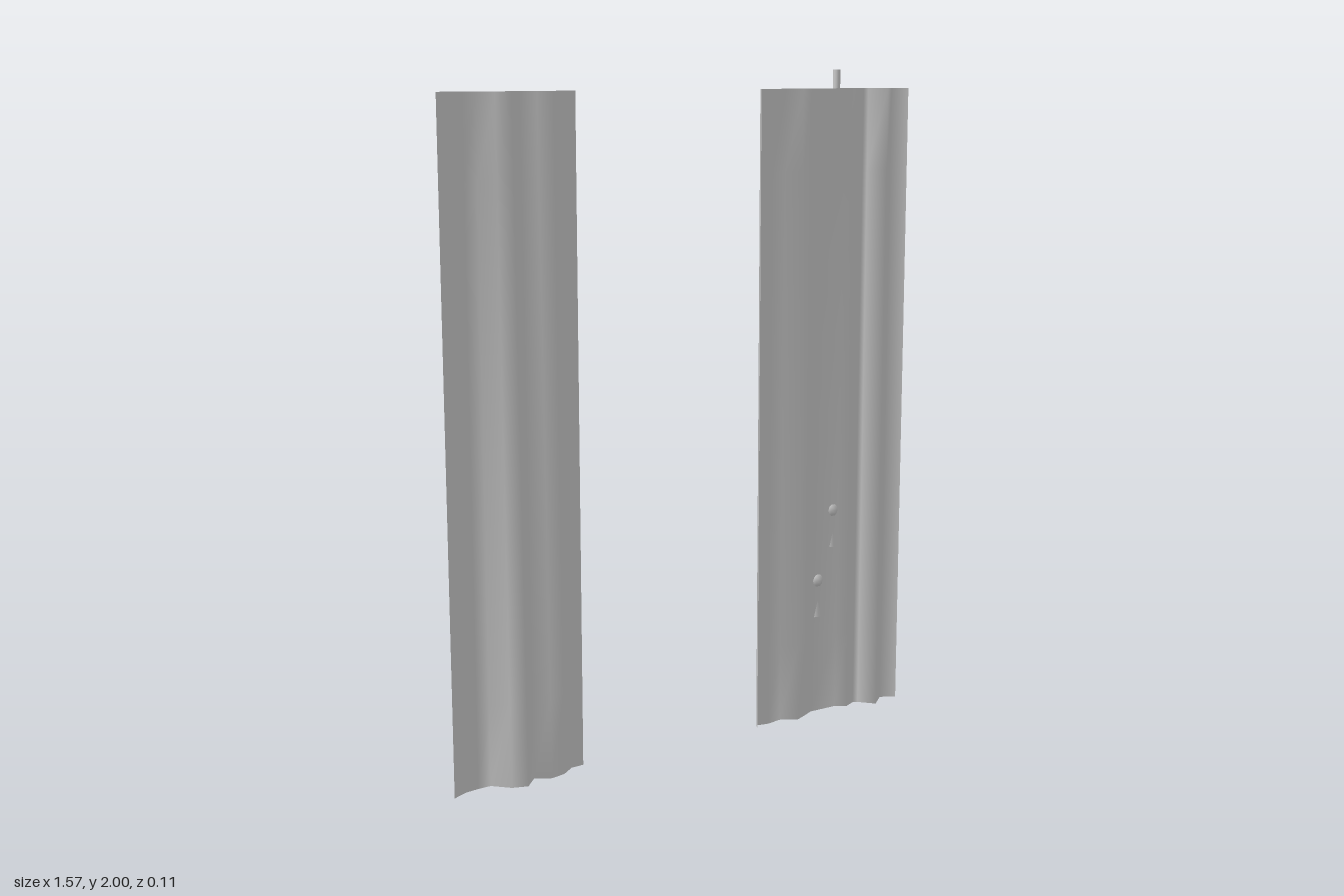
import * as THREE from 'three';

const grey = new THREE.MeshStandardMaterial({ color: 0xcccccc });
const cloth = new THREE.MeshStandardMaterial({ color: 0xcccccc, side: THREE.DoubleSide });
const HEIGHT = 1.945;
const ROWS = 8;

// Hanging sheet lofted from folds given as [x, z at hem, z at top]
function makePanel(name, folds) {
  const n = folds.length;
  const geo = new THREE.PlaneGeometry(1, 1, n - 1, ROWS);
  const pos = geo.attributes.position;
  for (let i = 0; i < pos.count; i++) {
    const [x, hem, top] = folds[i % n];
    const t = 1 - Math.floor(i / n) / ROWS;
    pos.setXYZ(i, x, t * HEIGHT, hem + (top - hem) * t);
  }
  geo.computeVertexNormals();
  const mesh = new THREE.Mesh(geo, cloth);
  mesh.name = name;
  return mesh;
}

// Pull cord with a round bead and a flared tassel
function makeCord(name, x, beadY) {
  const cord = new THREE.Group();
  cord.name = name;
  const add = (part, geo, y, z) => {
    const mesh = new THREE.Mesh(geo, grey);
    mesh.name = part;
    mesh.position.set(0, y, z);
    cord.add(mesh);
  };
  const length = 1.352;
  add('string', new THREE.CylinderGeometry(0.011, 0.011, length, 8), length / 2, -0.021);
  add('bead', new THREE.SphereGeometry(0.03, 10, 8), 0, -0.027);
  add('tassel', new THREE.CylinderGeometry(0.013, 0.024, 0.105, 8), -0.0655, -0.024);
  cord.position.set(x, beadY, 0);
  return cord;
}

export function createModel() {
  const model = new THREE.Group();
  model.name = 'curtains';

  model.add(makePanel('rightCurtain', [
    [-0.785, 0.024, 0.02], [-0.74, 0.003, 0], [-0.70, -0.002, -0.003], [-0.66, -0.003, -0.004],
    [-0.615, 0.042, 0.02], [-0.57, 0.056, 0.026], [-0.53, 0.014, -0.002], [-0.485, 0.04, 0.01],
    [-0.44, 0.03, 0.02], [-0.40, 0, -0.003], [-0.36, -0.002, -0.003],
  ]));

  model.add(makePanel('leftCurtain', [
    [0.242, 0.022, 0.018], [0.25, 0.004, 0], [0.29, 0.011, 0.006], [0.34, 0.002, 0.001],
    [0.39, 0.03, 0.02], [0.43, 0.012, 0.008], [0.465, -0.006, -0.004], [0.56, -0.006, -0.002],
    [0.59, 0.016, 0.004], [0.63, -0.003, -0.003], [0.645, 0.004, 0], [0.685, 0.047, 0.045],
    [0.735, 0.004, -0.001], [0.78, 0.028, 0.024],
  ]));

  // Cords hang behind the left curtain
  model.add(makeCord('longCord', 0.487, 0.428), makeCord('shortCord', 0.541, 0.648));
  return model;
}
